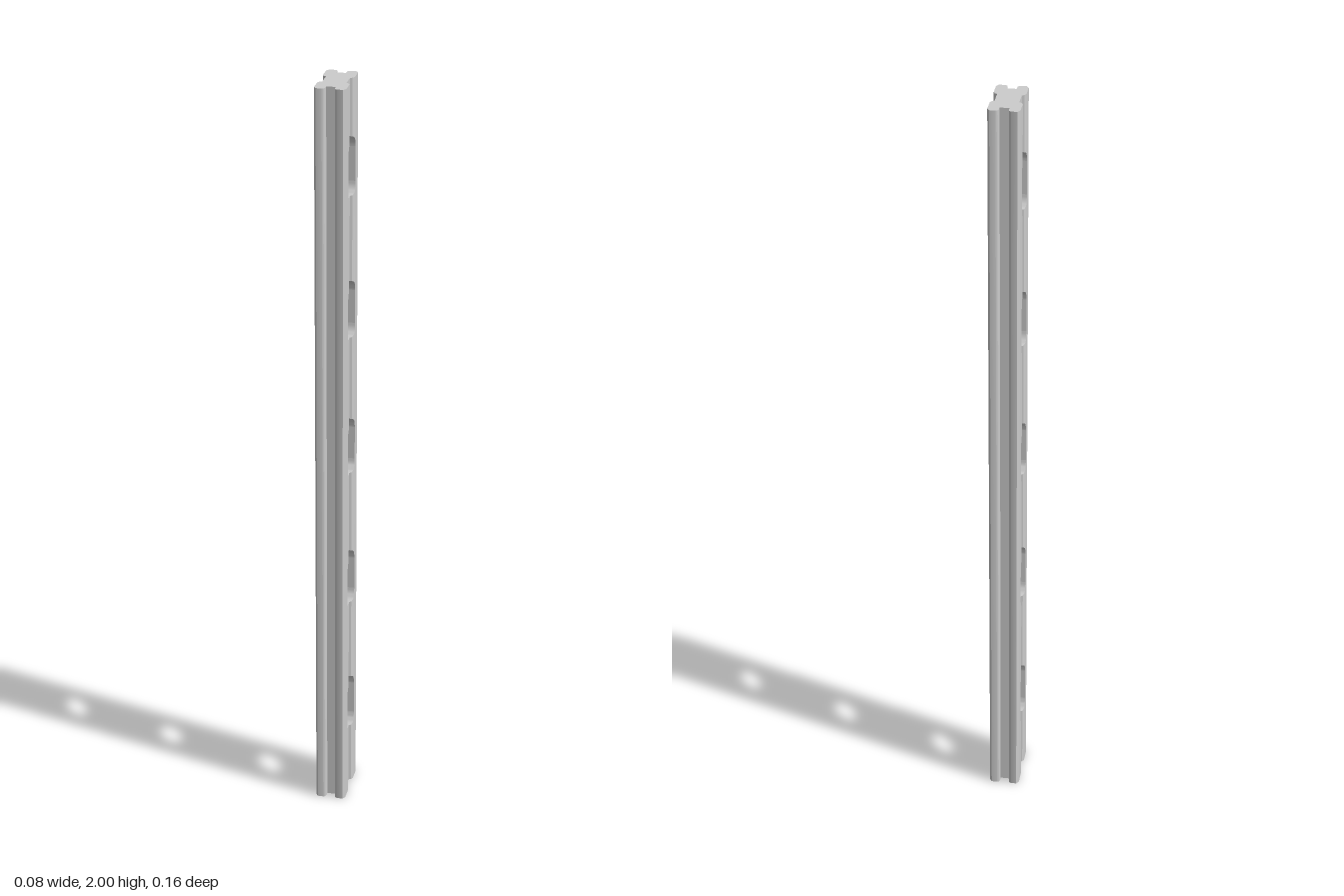
import * as THREE from 'three';
import { toCreasedNormals } from 'three/addons/utils/BufferGeometryUtils.js';

const LENGTH = 2;
const SLOT = { halfWidth: 0.043, halfHeight: 0.08, radius: 0.035 };
const SLOT_CENTRES = [0, 1, 2, 3, 4].map((i) => 0.25 + i * 0.381);
const material = new THREE.MeshStandardMaterial({ color: 0xcccccc });

// Half thickness of the section at a distance from the middle: [z, x]
const SECTION = [[0, 0.03], [0.021, 0.03], [0.0235, 0.036], [0.031, 0.04], [0.0431, 0.04]];

function halfThickness(z) {
  const d = Math.abs(z);
  const i = Math.max(1, SECTION.findIndex((p) => p[0] >= d));
  const [a, b] = [SECTION[i - 1], SECTION[i]];
  return THREE.MathUtils.mapLinear(d, a[0], b[0], a[1], b[1]);
}

// Half height of the rounded slot at a distance from its centre line
function slotHalfHeight(z) {
  const { halfWidth, halfHeight, radius } = SLOT;
  const d = Math.max(0, Math.abs(z) - (halfWidth - radius));
  return halfHeight - radius + Math.sqrt(Math.max(0, radius * radius - d * d));
}

// Slotted web between the rails, made of narrow columns side by side
function webGeometry() {
  const half = [0.008, 0.015, 0.021, 0.0235, 0.027, 0.031, 0.035, 0.0385, 0.041, 0.0425, 0.043];
  const zs = [...half.map((z) => -z).reverse(), 0, ...half];
  const positions = [];
  const quad = (a, b, c, d, outward) => {
    const normal = b.clone().sub(a).cross(c.clone().sub(a));
    const corners = normal.dot(outward) > 0 ? [a, b, c, a, c, d] : [a, c, b, a, d, c];
    corners.forEach((p) => positions.push(p.x, p.y, p.z));
  };
  // Heights where solid starts and stops, from the bottom end to the top end
  const levels = (z) => {
    const h = slotHalfHeight(z);
    return [0, ...SLOT_CENTRES.flatMap((c) => [c - h, c + h]), LENGTH];
  };
  const point = (side, y, z) => new THREE.Vector3(side * halfThickness(z), y, z);

  for (let i = 0; i < zs.length - 1; i++) {
    const [z0, z1] = [zs[i], zs[i + 1]];
    const [y0, y1] = [levels(z0), levels(z1)];
    for (let k = 0; k < y0.length; k++) {
      // End faces and slot walls
      const up = new THREE.Vector3(0, k % 2 ? 1 : -1, 0);
      quad(point(-1, y0[k], z0), point(1, y0[k], z0), point(1, y1[k], z1), point(-1, y1[k], z1), up);
      // Side faces between the slots
      if (k % 2 === 0) {
        for (const side of [-1, 1]) {
          quad(point(side, y0[k], z0), point(side, y0[k + 1], z0),
            point(side, y1[k + 1], z1), point(side, y1[k], z1), new THREE.Vector3(side, 0, 0));
        }
      }
    }
  }
  const geometry = new THREE.BufferGeometry();
  geometry.setAttribute('position', new THREE.Float32BufferAttribute(positions, 3));
  return toCreasedNormals(geometry, 0.5);
}

// Edge rail with a groove along its outer face
function railGeometry() {
  const shape = new THREE.Shape();
  shape.moveTo(-0.04, -SLOT.halfWidth);
  shape.lineTo(0.04, -SLOT.halfWidth);
  shape.lineTo(0.04, -0.069);
  shape.lineTo(0.034, -0.078);
  shape.lineTo(0.019, -0.078);
  shape.quadraticCurveTo(0.012, -0.077, 0.012, -0.068);
  shape.lineTo(0.012, -0.0585);
  shape.lineTo(-0.012, -0.0585);
  shape.lineTo(-0.012, -0.068);
  shape.quadraticCurveTo(-0.012, -0.077, -0.019, -0.078);
  shape.lineTo(-0.034, -0.078);
  shape.lineTo(-0.04, -0.069);
  shape.closePath();
  const geometry = new THREE.ExtrudeGeometry(shape, { depth: LENGTH, bevelEnabled: false, curveSegments: 4 });
  geometry.rotateX(-Math.PI / 2);
  return toCreasedNormals(geometry, 0.5);
}

export function createModel() {
  const model = new THREE.Group();
  model.name = 'slottedBeam';

  const web = new THREE.Mesh(webGeometry(), material);
  web.name = 'slottedWeb';
  model.add(web);

  const railShape = railGeometry();
  ['frontRail', 'backRail'].forEach((name, i) => {
    const rail = new THREE.Mesh(railShape, material);
    rail.name = name;
    rail.rotation.y = i * Math.PI;
    model.add(rail);
  });
  return model;
}
